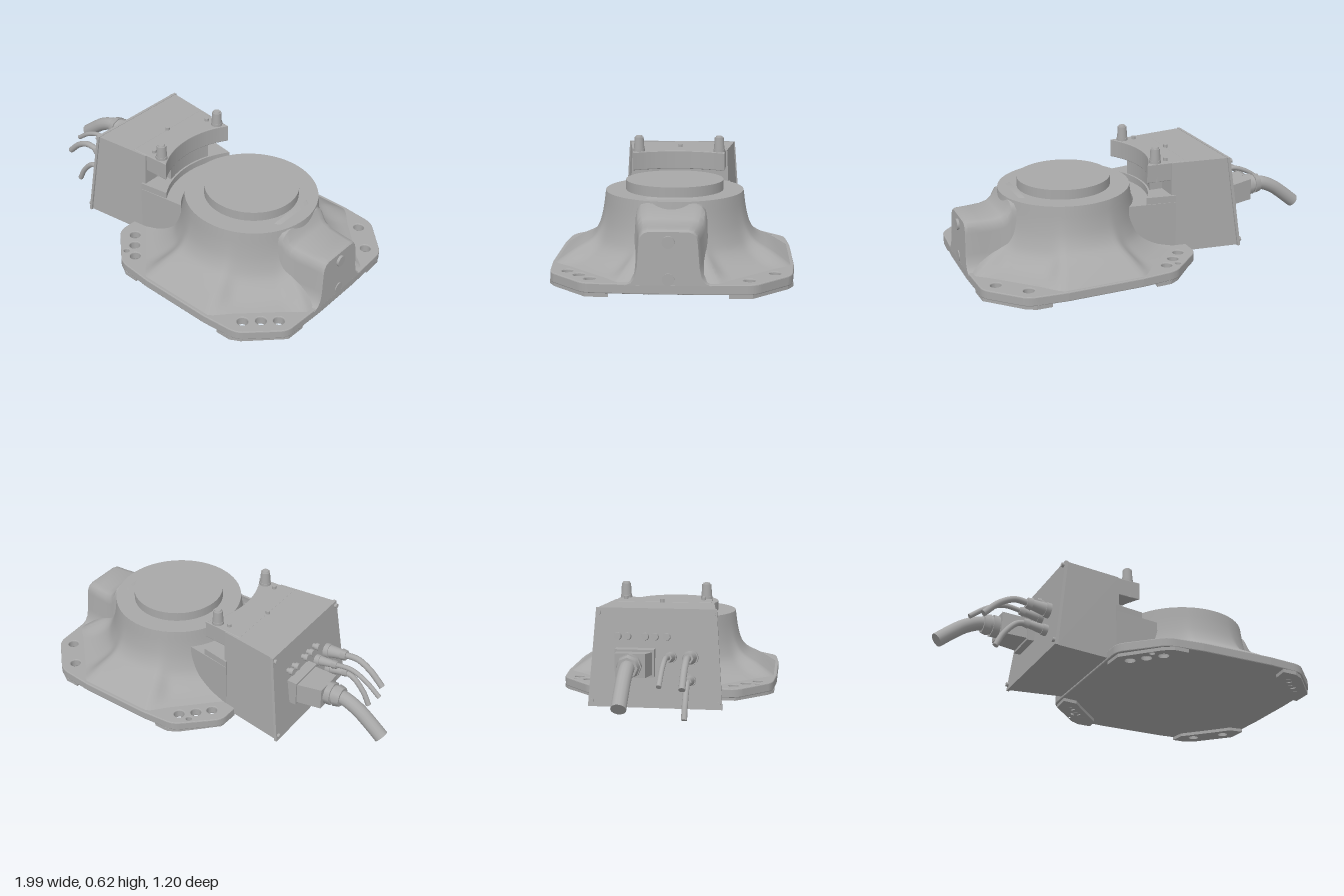
import * as THREE from 'three';
import { toCreasedNormals } from 'three/addons/utils/BufferGeometryUtils.js';

const V = (x, y, z) => new THREE.Vector3(x, y, z);
const CX = 0.4; // axis of the round column

export function createModel() {
  const model = new THREE.Group();
  const grey = new THREE.MeshStandardMaterial({ color: 0xa8a8a8 });
  grey.name = 'castGrey';

  const add = (name, geo, parent = model) => {
    const mesh = new THREE.Mesh(geo, grey);
    mesh.name = name;
    parent.add(mesh);
    return mesh;
  };
  const group = (name) => {
    const g = new THREE.Group();
    g.name = name;
    model.add(g);
    return g;
  };
  // Round bar between two points
  const rod = (name, a, b, ra, rb = ra, parent = model, seg = 24) => {
    const dir = b.clone().sub(a);
    const mesh = add(name, new THREE.CylinderGeometry(rb, ra, dir.length(), seg), parent);
    mesh.position.copy(a).add(b).multiplyScalar(0.5);
    mesh.quaternion.setFromUnitVectors(V(0, 1, 0), dir.normalize());
    return mesh;
  };
  // Plan outline (x, z) raised from y0 to y1
  const slab = (shape, y0, y1, bevel = 0) => {
    const geo = new THREE.ExtrudeGeometry(shape, {
      depth: y1 - y0 - 2 * bevel, bevelEnabled: bevel > 0, bevelSize: bevel,
      bevelThickness: bevel, bevelOffset: -bevel, bevelSegments: 2, curveSegments: 20,
    });
    return geo.rotateX(-Math.PI / 2).translate(0, y0 + bevel, 0);
  };
  // Skin over successive sections
  const loft = (loops, closed) => {
    const n = loops[0].length, pos = [], idx = [];
    loops.forEach((l) => l.forEach((p) => pos.push(p.x, p.y, p.z)));
    for (let i = 0; i < loops.length - 1; i++) {
      for (let j = 0; j < (closed ? n : n - 1); j++) {
        const k = (j + 1) % n, a = i * n + j, b = i * n + k, c = a + n, d = b + n;
        idx.push(a, c, b, b, c, d);
      }
    }
    const geo = new THREE.BufferGeometry();
    geo.setAttribute('position', new THREE.Float32BufferAttribute(pos, 3));
    geo.setIndex(idx);
    return toCreasedNormals(geo, 0.6);
  };
  // Box reshaped by a rule on unit coordinates
  const warpBox = (fn) => {
    const geo = new THREE.BoxGeometry(1, 1, 1).toNonIndexed(), p = geo.attributes.position;
    for (let i = 0; i < p.count; i++) {
      const v = fn(p.getX(i) + 0.5, p.getY(i) + 0.5, p.getZ(i) * 2);
      p.setXYZ(i, v.x, v.y, v.z);
    }
    geo.computeVertexNormals();
    return geo;
  };

  // Bolt holes of a corner, as [x, z, radius]; sz is the sign of z
  const cornerHoles = (right, sz) => (right
    ? [[0.77, 0.5, 0.028], [0.9, 0.375, 0.028], ...(sz > 0 ? [[0.835, 0.435, 0.028]] : [])]
    : [[-0.1, 0.375, 0.028], [-0.04, 0.438, 0.028], [0.025, 0.5, 0.028], [-0.04, 0.5, 0.015]]
  ).map(([x, z, r]) => [x, z * sz, r]);
  const punch = (shape, holes) => holes.forEach(([x, z, r]) => {
    shape.holes.push(new THREE.Path().absarc(x, -z, r, 0, Math.PI * 2, true));
  });

  // Base plate: octagon with bowed sides and soft corners
  const plate = new THREE.Shape();
  plate.moveTo(0.2, -0.6).lineTo(0.6, -0.6).lineTo(0.74, -0.588);
  plate.quadraticCurveTo(0.79, -0.585, 0.82, -0.56).lineTo(0.95, -0.43);
  plate.quadraticCurveTo(0.98, -0.4, 0.98, -0.36).lineTo(0.99, -0.15).lineTo(0.99, 0.15).lineTo(0.98, 0.36);
  plate.quadraticCurveTo(0.98, 0.4, 0.95, 0.43).lineTo(0.82, 0.56);
  plate.quadraticCurveTo(0.79, 0.585, 0.74, 0.588).lineTo(0.6, 0.6).lineTo(0.2, 0.6).lineTo(0.06, 0.588);
  plate.quadraticCurveTo(0.01, 0.585, -0.02, 0.56).lineTo(-0.16, 0.43);
  plate.quadraticCurveTo(-0.19, 0.4, -0.19, 0.36).lineTo(-0.19, -0.36);
  plate.quadraticCurveTo(-0.19, -0.4, -0.16, -0.43).lineTo(-0.02, -0.56);
  plate.quadraticCurveTo(0.01, -0.585, 0.06, -0.588).lineTo(0.2, -0.6);
  for (const right of [true, false]) for (const sz of [1, -1]) punch(plate, cornerHoles(right, sz));
  add('basePlate', slab(plate, 0.018, 0.067, 0.005));

  // Corner feet with a hollowed inner edge
  for (const right of [true, false]) {
    for (const sz of [1, -1]) {
      const X = (d) => CX + (right ? d : -d), foot = new THREE.Shape();
      foot.moveTo(X(0.58), -sz * 0.28).lineTo(X(0.575), -sz * 0.39).lineTo(X(0.41), -sz * 0.56);
      foot.lineTo(X(0.36), -sz * 0.588).lineTo(X(0.28), -sz * 0.59).lineTo(X(0.29), -sz * 0.51);
      foot.quadraticCurveTo(X(0.4), -sz * 0.4, X(0.5), -sz * 0.29);
      punch(foot, cornerHoles(right, sz));
      add('foot', slab(foot, 0, 0.02));
    }
  }

  // Flared body: eight-sided skirt sweeping up into a round column
  const flank = [[1, 0.063], [0.62, 0.128], [0.29, 0.178], [0.146, 0.232], [0.06, 0.305], [0, 0.405]];
  const pocketY = [0.063, 0.092, 0.15, 0.218, 0.3, 0.405];
  const columns = [];
  for (let j = 0; j < 144; j++) {
    const t = (j / 144) * Math.PI * 2, c = Math.cos(t), s = Math.sin(t);
    const R = Math.min(0.572 / Math.abs(c), 0.588 / Math.abs(s), 0.81 / (Math.abs(c) + Math.abs(s)));
    const w = THREE.MathUtils.smoothstep(Math.abs(Math.sin(2 * t)), 0.66, 0.9);
    const pts = flank.map(([u, y], i) => {
      const r = 0.35 + (R - 0.35) * u;
      return V(CX + r * c, THREE.MathUtils.lerp(y, pocketY[i], w), r * s);
    });
    columns.push(new THREE.CatmullRomCurve3(pts).getPoints(18));
  }
  add('flaredBody', loft(columns[0].map((_, i) => columns.map((col) => col[i])), true));
  rod('columnTop', V(CX, 0.36, 0), V(CX, 0.405, 0), 0.35, 0.35, model, 96);
  rod('turntableDisc', V(CX, 0.4, 0), V(CX, 0.456, 0), 0.248, 0.248, model, 80);

  // Side block with filleted root and rounded shoulders
  const half = [[0.21, 0.06], [0.18, 0.072], [0.16, 0.1], [0.15, 0.15], [0.142, 0.26], [0.136, 0.292], [0.12, 0.312], [0.095, 0.32]];
  const section = [...half, ...half.map(([z, y]) => [-z, y]).reverse()];
  const stations = [[0.66, 0.41, 1.25], [0.74, 0.395, 1.2], [0.765, 0.35, 1.17], [0.79, 0.331, 1.13], [0.83, 0.322, 1.09], [0.9, 0.32, 1.03], [0.965, 0.32, 0.99], [0.978, 0.312, 0.96], [0.978, 0.312, 0]];
  add('sideBlock', loft(stations.map(([x, top, wide]) => section.map(([z, y]) => {
    const f = (y - 0.06) / 0.26;
    return V(x + (x > 0.95 ? 0.012 * (1 - f) : 0), 0.06 + f * (top - 0.06), z * wide);
  })), false));
  add('blockToe', new THREE.BoxGeometry(0.06, 0.06, 0.3)).position.set(0.958, 0.049, 0);
  for (const y of [0.265, 0.09]) rod('blockPlug', V(0.96, y, 0), V(0.992, y, 0), 0.03, 0.029);

  // Connection box with leaning outer wall
  const panelX = (y) => -0.485 + 0.12 * (y - 0.03);
  const lerp = THREE.MathUtils.lerp;
  add('connectionBox', warpBox((a, b, c) => {
    const y = lerp(0.03, 0.528, b);
    return V(lerp(panelX(y), -0.11, a), y, c * lerp(lerp(0.335, 0.302, b), lerp(0.285, 0.264, b), a));
  }));
  add('outerPanel', warpBox((a, b, c) => {
    const y = lerp(0.027, 0.53, b);
    return V(panelX(y) + lerp(-0.012, 0.004, a), y, c * lerp(0.345, 0.308, b));
  }));

  // Parts that wrap the column with a concave edge
  const saddle = (x0, z0, z1, r) => {
    const a = Math.asin(z1 / r), s = new THREE.Shape();
    s.moveTo(x0, z0).lineTo(x0, -z0).lineTo(CX - r * Math.cos(a), -z1);
    s.absarc(CX, 0, r, Math.PI + a, Math.PI - a, true);
    s.lineTo(x0, z0);
    return s;
  };
  add('boxNeck', slab(saddle(-0.13, 0.286, 0.25, 0.37), 0.03, 0.315));
  add('neckLedge', slab(saddle(-0.13, 0.284, 0.258, 0.45), 0.3, 0.352));
  add('notchCore', slab(saddle(-0.13, 0.15, 0.15, 0.46), 0.34, 0.44));
  add('topBridge', slab(saddle(-0.2, 0.262, 0.25, 0.452), 0.43, 0.53, 0.004));

  // Guide posts and locating pins on the bridge
  for (const s of [1, -1]) {
    const post = group('guidePost');
    rod('postBase', V(-0.035, 0.43, s * 0.22), V(-0.035, 0.545, s * 0.22), 0.034, 0.031, post);
    rod('postStem', V(-0.035, 0.54, s * 0.22), V(-0.035, 0.608, s * 0.22), 0.029, 0.025, post);
    rod('postTip', V(-0.035, 0.605, s * 0.22), V(-0.035, 0.616, s * 0.22), 0.021, 0.017, post);
    rod('locatingPin', V(-0.1, 0.52, s * 0.21), V(-0.1, 0.546, s * 0.21), 0.012);
    // Panel screws
    for (const [y, z] of [[0.055, 0.325], [0.505, 0.293]]) {
      rod('panelScrew', V(panelX(y), y, s * z), V(panelX(y) - 0.025, y + 0.003, s * z), 0.012);
    }
  }
  rod('locatingPin', V(-0.2, 0.52, 0), V(-0.2, 0.546, 0), 0.012);

  // Cables with closed ends
  const cable = (name, r, pts) => {
    const g = group(name), curve = new THREE.CatmullRomCurve3(pts.map((p) => V(...p)));
    add('cableSleeve', new THREE.TubeGeometry(curve, 28, r, 14), g);
    const end = curve.getPoint(1), dir = curve.getTangent(1);
    rod('cableEnd', end.clone().addScaledVector(dir, -0.01), end, r, r, g, 14);
  };

  // Large plug: hood, nuts and thick cable
  const plug = group('powerPlug');
  add('plugFlange', new THREE.BoxGeometry(0.06, 0.14, 0.2), plug).position.set(-0.485, 0.26, -0.1);
  add('plugHood', warpBox((a, b, c) => V(lerp(-0.65, -0.48, a),
    lerp(lerp(0.215, 0.2, a), lerp(0.335, 0.315, a), b), -0.1 + c * lerp(0.075, 0.095, a))), plug);
  rod('plugNut', V(-0.64, 0.275, -0.1), V(-0.685, 0.278, -0.1), 0.062, 0.062, plug, 8);
  rod('plugCollar', V(-0.68, 0.278, -0.1), V(-0.705, 0.279, -0.1), 0.05, 0.05, plug);
  rod('plugGland', V(-0.7, 0.279, -0.1), V(-0.735, 0.28, -0.1), 0.06, 0.052, plug, 8);
  cable('powerCable', 0.038, [[-0.68, 0.279, -0.1], [-0.75, 0.278, -0.1], [-0.83, 0.245, -0.1], [-0.9, 0.195, -0.1], [-0.974, 0.135, -0.1]]);

  // Round signal connectors on the panel
  for (const [y, z, k] of [[0.285, 0.18, 1], [0.17, 0.18, 0.75], [0.285, 0.08, 0.75]]) {
    const g = group('signalConnector'), x = panelX(y);
    rod('connectorBase', V(x, y, z), V(x - 0.04, y + 0.006, z), 0.04 * k, 0.04 * k, g);
    rod('connectorBody', V(x - 0.03, y + 0.005, z), V(x - 0.11, y + 0.018, z), 0.036 * k, 0.027 * k, g);
    rod('connectorNut', V(x - 0.11, y + 0.018, z), V(x - 0.14, y + 0.022, z), 0.033 * k, 0.028 * k, g, 6);
  }
  cable('signalCableUpper', 0.017, [[-0.58, 0.306, 0.18], [-0.66, 0.312, 0.18], [-0.74, 0.275, 0.178], [-0.82, 0.2, 0.177]]);
  cable('signalCableLower', 0.015, [[-0.58, 0.19, 0.18], [-0.64, 0.18, 0.18], [-0.71, 0.11, 0.18], [-0.75, 0.035, 0.18]]);
  cable('signalCableThin', 0.013, [[-0.58, 0.306, 0.08], [-0.68, 0.318, 0.078], [-0.77, 0.285, 0.075], [-0.86, 0.22, 0.072]]);

  // Row of small fittings above the plugs
  for (const z of [-0.19, -0.14, -0.05, 0, 0.06]) {
    rod('smallFitting', V(panelX(0.39), 0.387, z), V(panelX(0.39) - 0.035, 0.391, z), 0.014, 0.014, model, 12);
    rod('fittingCap', V(panelX(0.39) - 0.03, 0.391, z), V(panelX(0.39) - 0.05, 0.393, z), 0.02, 0.018, model, 12);
  }
  return model;
}
